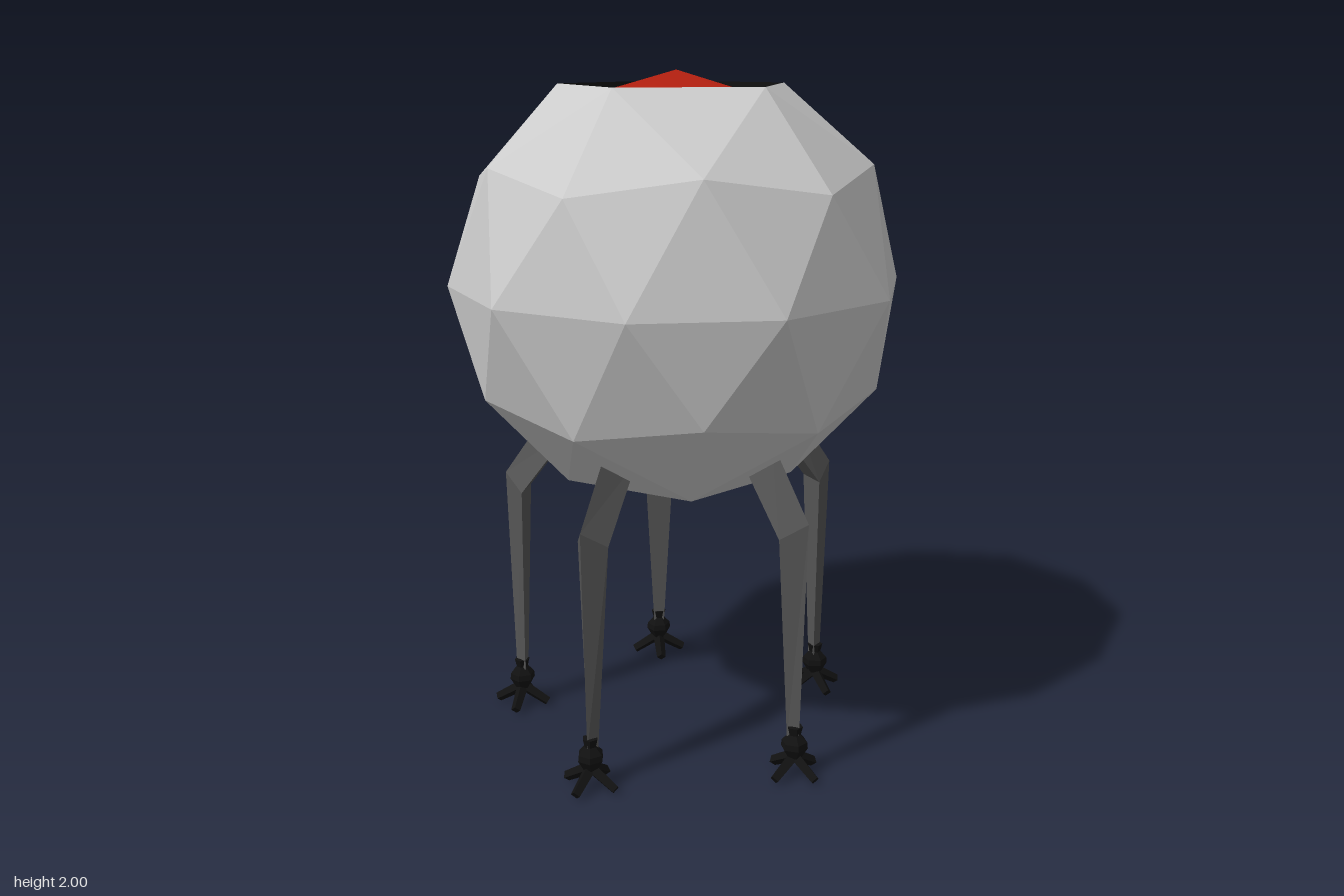
import * as THREE from 'three';
import { mergeVertices } from 'three/addons/utils/BufferGeometryUtils.js';

const R = 0.663, CY = 1.396, DROP = 0.059;
const RIM_ANGLE = Math.atan(2 / (1 + Math.sqrt(5)));
const mat = (color) => new THREE.MeshStandardMaterial({ color, flatShading: true });
const grey = mat(0xcccccc), black = mat(0x111111), legGrey = mat(0x555555);
const red = new THREE.MeshStandardMaterial({ color: 0xb52010 });

function mesh(name, geometry, material) {
  const m = new THREE.Mesh(geometry, material);
  m.name = name;
  return m;
}

function fromPoints(points) {
  const g = new THREE.BufferGeometry().setFromPoints(points);
  g.computeVertexNormals();
  return g;
}

// Faceted ball with a vertex on top; the five facets round it become the smooth lid
function splitBall() {
  const ico = new THREE.IcosahedronGeometry(R, 1).rotateZ(-RIM_ANGLE);
  const p = ico.attributes.position, shell = [], lid = [];
  for (let i = 0; i < p.count; i += 3) {
    const tri = [0, 1, 2].map((k) => new THREE.Vector3().fromBufferAttribute(p, i + k));
    (tri.some((v) => v.y > R * 0.99) ? lid : shell).push(...tri);
  }
  const smoothLid = mergeVertices(new THREE.BufferGeometry().setFromPoints(lid));
  smoothLid.computeVertexNormals();
  return { shell: fromPoints(shell), lid: smoothLid };
}

// Closed skin over a list of three-cornered cross-sections, ordered top to bottom
function loftTriangles(sections) {
  const pts = [], n = sections.length - 1;
  for (let i = 0; i < n; i++) {
    const a = sections[i], b = sections[i + 1];
    for (let k = 0; k < 3; k++) {
      const j = (k + 1) % 3;
      pts.push(a[k], b[k], a[j], a[j], b[k], b[j]);
    }
  }
  const end = sections[n];
  pts.push(...sections[0], end[2], end[1], end[0]);
  return fromPoints(pts);
}

// Cross-section with its ridge outward and its flat side inward
const section = (ox, oy, ix, iy, w) => [
  new THREE.Vector3(ox, oy, 0),
  new THREE.Vector3(ix, iy, -w),
  new THREE.Vector3(ix, iy, w),
];

// Tapered toe reaching outward and down to the ground
function createToe(angle) {
  const from = new THREE.Vector3(0, 0.062, 0), to = new THREE.Vector3(0.083, 0.013, 0);
  const dir = to.clone().sub(from);
  const toe = mesh('toe', new THREE.CylinderGeometry(0.015, 0.019, dir.length(), 4), black);
  toe.position.copy(from).add(to).multiplyScalar(0.5);
  toe.quaternion.setFromUnitVectors(new THREE.Vector3(0, 1, 0), dir.normalize());
  const holder = new THREE.Group();
  holder.add(toe);
  holder.rotation.y = angle;
  return holder;
}

function createFoot() {
  const foot = new THREE.Group();
  foot.name = 'foot';
  const profile = [[0, 0.035], [0.02, 0.055], [0.04, 0.09], [0.038, 0.108], [0.018, 0.13], [0.024, 0.155], [0, 0.157]]
    .map(([x, y]) => new THREE.Vector2(x, y));
  foot.add(mesh('ankle', new THREE.LatheGeometry(profile, 6), black));
  for (let i = 0; i < 4; i++) foot.add(createToe((i * Math.PI) / 2));
  foot.position.x = 0.505;
  return foot;
}

function createLeg(angle) {
  const leg = new THREE.Group();
  leg.name = 'leg';
  leg.add(mesh('bentLeg', loftTriangles([
    section(0.395, 0.99, 0.32, 0.935, 0.05),
    section(0.54, 0.78, 0.475, 0.73, 0.05),
    section(0.522, 0.12, 0.49, 0.12, 0.017),
  ]), legGrey));
  leg.add(createFoot());
  leg.rotation.y = angle;
  return leg;
}

export function createModel() {
  const model = new THREE.Group();
  const { shell, lid } = splitBall();

  const body = mesh('body', shell, grey);
  body.position.y = CY;
  model.add(body);

  // Sunken lid
  const top = mesh('lid', lid, red);
  top.position.y = CY - DROP;
  model.add(top);

  // Inner wall of the five-sided opening
  const r = R * Math.sin(RIM_ANGLE);
  const wallMat = black.clone();
  wallMat.side = THREE.DoubleSide;
  const wall = mesh('rimWall', new THREE.CylinderGeometry(r, r, DROP, 5, 1, true), wallMat);
  wall.rotation.y = Math.PI / 2;
  wall.position.y = CY + R * Math.cos(RIM_ANGLE) - DROP / 2;
  model.add(wall);

  // Five legs round the body
  for (let i = 0; i < 5; i++) model.add(createLeg((i * Math.PI * 2) / 5));
  return model;
}
